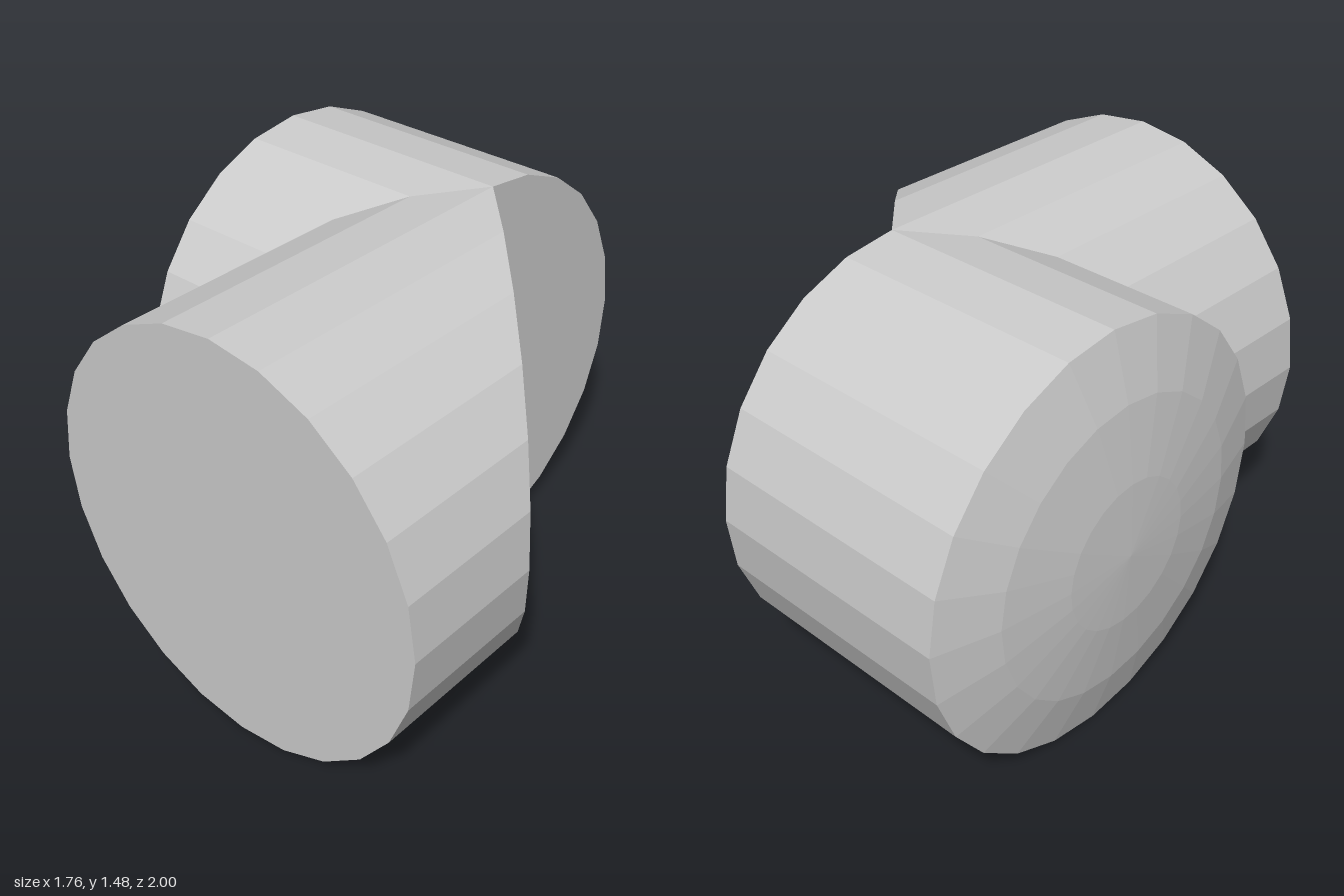
import * as THREE from 'three';

const R = 0.742, CX = 0.14, CY = 0.742, CZ = -0.26, FRONT = 1;

// Band of flat quads between two rows of points
function strip(a, b) {
  const pos = [];
  for (let i = 0; i < a.length - 1; i++) {
    for (const p of [a[i], b[i], b[i + 1], a[i], b[i + 1], a[i + 1]]) pos.push(...p);
  }
  const g = new THREE.BufferGeometry();
  g.setAttribute('position', new THREE.Float32BufferAttribute(pos, 3));
  g.computeVertexNormals();
  return g;
}

export function createModel() {
  const group = new THREE.Group();
  const mat = new THREE.MeshStandardMaterial({ color: 0xcccccc, flatShading: true });
  const add = (name, geometry) => {
    const m = new THREE.Mesh(geometry, mat);
    m.name = name;
    group.add(m);
    return m;
  };

  // Half of the 24-sided section, bottom to top, as [sideways, height]
  const half = [];
  for (let i = 0; i <= 12; i++) {
    const t = (i * Math.PI) / 12;
    half.push([R * Math.sin(t), CY - R * Math.cos(t)]);
  }
  // extra point in the facet where the mitre meets the sloping cut
  const HINGE = 4;
  half.splice(HINGE, 0, [(half[3][0] + half[4][0]) / 2, (half[3][1] + half[4][1]) / 2]);
  const [hingeS, hingeY] = half[HINGE];

  // Rear end of the front pipe: mitred above, sloping cut below
  const rearZ = ([s, y], i) =>
    i >= HINGE ? CZ + s : Math.min(CZ + hingeS + (hingeY - y) / 0.6, 0.78);
  const rearRight = half.map((p, i) => [CX + p[0], p[1], rearZ(p, i)]);
  const mirror = ([x, y, z]) => [2 * CX - x, y, z];
  const rearLeft = rearRight.map(mirror);
  const toFront = ([x, y]) => [x, y, FRONT];

  // Front pipe wall
  const rear = [...rearLeft.slice(1).reverse(), ...rearRight];
  add('frontPipeWall', strip(rear.map(toFront), rear));

  // Front pipe end cap
  const cap = add('frontPipeCap', new THREE.CircleGeometry(R, 24));
  cap.position.set(CX, CY, FRONT);

  // Sloping face under the front pipe
  const down = (row) => row.slice(0, HINGE + 1).reverse();
  add('slopingUnderside', strip(down(rearLeft), down(rearRight)));

  // Inner wall of the mitred pocket, facing inward
  const pocketOuter = half.map(([s, y]) => [CX + s, y, CZ + s]);
  const pocketInner = half.map(([s, y]) => [CX, y, CZ + s]);
  add('pocketWall', strip(pocketOuter, pocketInner));

  // Side pipe: flat end and domed end
  const profile = [
    [0, -CX], [R, -CX], [R, 0.77], [0.52, 0.835], [0.26, 0.87], [0, 0.882],
  ].map(([r, h]) => new THREE.Vector2(r, h));
  const side = add('sidePipe', new THREE.LatheGeometry(profile, 24));
  side.rotation.z = Math.PI / 2;
  side.position.set(0, CY, CZ);

  return group;
}
